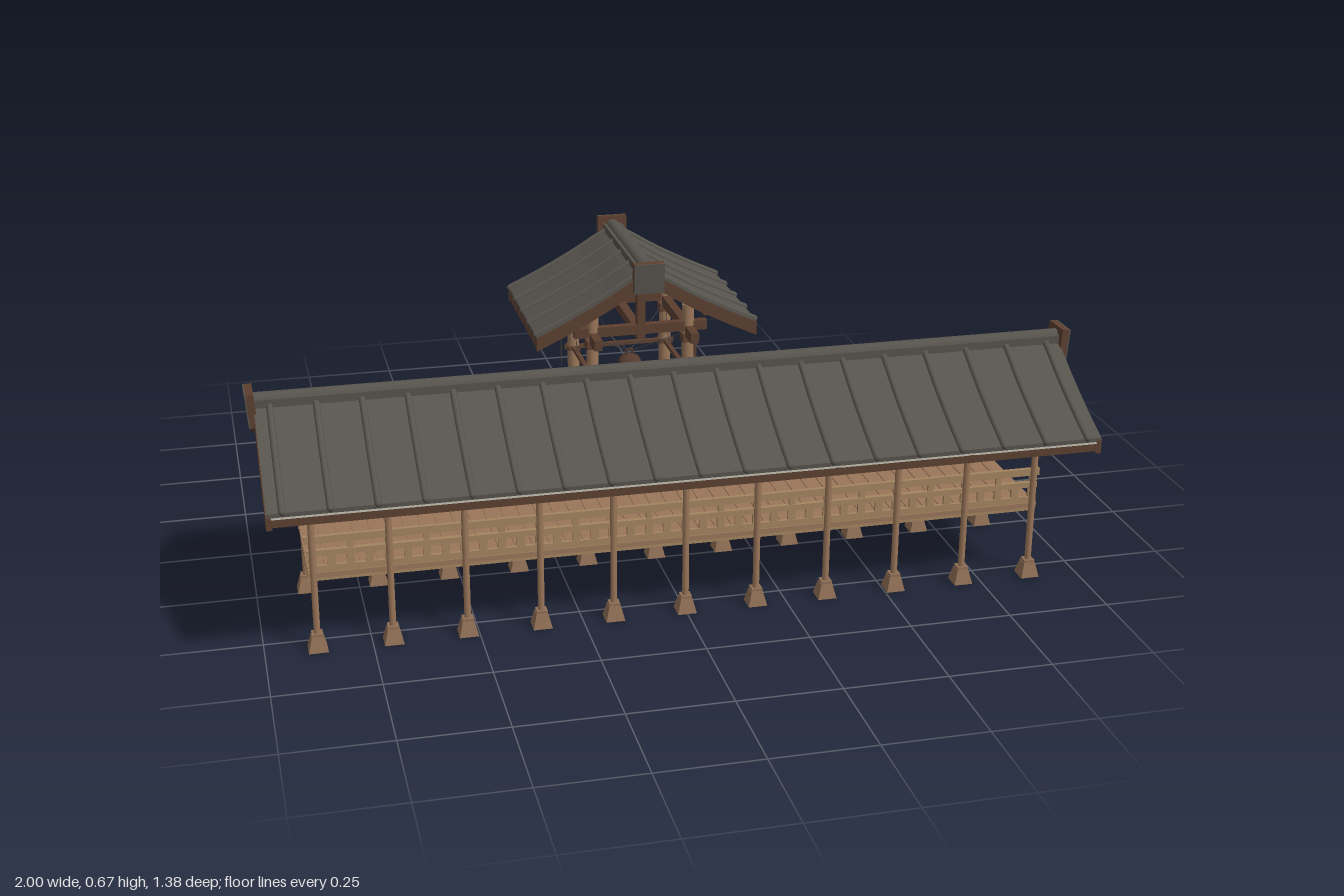
import * as THREE from 'three';

const mat = (name, color, side = THREE.FrontSide) => {
  const m = new THREE.MeshStandardMaterial({ color, side });
  m.name = name;
  return m;
};

export function createModel() {
  const tile = mat('roof tile', 0x57534d);
  const stone = mat('stone', 0x504d4a, THREE.DoubleSide);
  const wood = mat('light wood', 0x9a7659);
  const railWood = mat('railing wood', 0xa38560);
  const footing = mat('footing', 0x906f56);
  const dark = mat('dark wood', 0x5c3f30);
  const soffit = mat('soffit', 0xc4c2b2);
  const bronze = mat('bronze', 0x553a2d);
  const rope = mat('rope', 0x4a4640);

  const model = new THREE.Group();
  model.name = 'coveredWalkAndBellTower';

  const add = (parent, name, geo, material, x = 0, y = 0, z = 0) => {
    const m = new THREE.Mesh(geo, material);
    m.name = name;
    m.position.set(x, y, z);
    parent.add(m);
    return m;
  };
  const box = (parent, name, material, w, h, d, x, y, z) =>
    add(parent, name, new THREE.BoxGeometry(w, h, d), material, x, y, z);
  // Square tapered block with flat sides, standing on y
  const taper = (parent, name, material, top, bottom, h, x, y, z, open = false) => {
    const g = new THREE.CylinderGeometry(top * Math.SQRT1_2, bottom * Math.SQRT1_2, h, 4, 1, open)
      .rotateY(Math.PI / 4).toNonIndexed();
    g.computeVertexNormals();
    return add(parent, name, g, material, x, y + h / 2, z);
  };
  const rod = (parent, name, material, a, b, r) => {
    const va = new THREE.Vector3(...a), dir = new THREE.Vector3(...b).sub(va);
    const m = add(parent, name, new THREE.CylinderGeometry(r, r, dir.length(), 8), material);
    m.position.copy(va).addScaledVector(dir, 0.5);
    m.quaternion.setFromUnitVectors(new THREE.Vector3(0, 1, 0), dir.normalize());
  };

  // Curved gable section: distance from the ridge, height
  const section = [[0, 0.568], [0.04, 0.548], [0.1, 0.511], [0.15, 0.483], [0.22, 0.447], [0.295, 0.412]];
  // Strip of roof following the section, between two depths below its surface
  const roofLayer = (parent, name, material, t0, t1, width, x) => {
    const right = section.slice(1);
    const line = [...right.map(([d, y]) => [-d, y]).reverse(), section[0], ...right];
    const pts = [...line.map(([d, y]) => [d, y - t0]), ...line.map(([d, y]) => [d, y - t1]).reverse()];
    const shape = new THREE.Shape(pts.map(p => new THREE.Vector2(...p)));
    const g = new THREE.ExtrudeGeometry(shape, { depth: width, bevelEnabled: false });
    g.translate(0, 0, -width / 2).rotateY(Math.PI / 2);
    return add(parent, name, g, material, x);
  };
  // Round tile rib down one slope, with a rounded end at the eave
  const tileRib = (parent, x, side) => {
    const path = new THREE.CatmullRomCurve3(section.map(([d, y]) => new THREE.Vector3(0, y + 0.001, side * d)));
    add(parent, 'tileRib', new THREE.TubeGeometry(path, 10, 0.008, 10), tile, x);
    add(parent, 'ribEnd', new THREE.SphereGeometry(0.008, 10, 6), tile, x, 0.413, side * 0.294);
  };

  // Gabled roof with its ridge along local x
  const makeRoof = (name, length, ribs, pitch, rafters, lining) => {
    const r = new THREE.Group();
    r.name = name;
    const half = length / 2;
    roofLayer(r, 'roofTiles', tile, 0, 0.01, length, 0);
    roofLayer(r, 'roofLining', lining, 0.01, 0.015, length - 0.02, 0);
    for (let i = 0; i < rafters; i++)
      roofLayer(r, 'rafter', dark, 0.014, 0.034, 0.014, ((i + 1) / (rafters + 1) * 2 - 1) * half);
    for (const s of [-1, 1]) {
      for (let i = 0; i < ribs; i++) tileRib(r, (i - (ribs - 1) / 2) * pitch, s);
      roofLayer(r, 'bargeboard', dark, 0.004, 0.04, 0.014, s * (half - 0.005));
      box(r, 'eaveBoard', dark, length, 0.027, 0.012, 0, 0.3915, s * 0.288);
      box(r, 'purlin', dark, length - 0.02, 0.016, 0.016, 0, 0.441, s * 0.16);
      // Wooden ridge end block faced with a thin tile
      const end = new THREE.Group();
      end.name = 'ridgeEnd';
      end.position.set(s * (half + 0.006), 0.554, 0);
      end.rotation.z = -s * 0.08;
      box(end, 'ridgeEndBlock', dark, 0.018, 0.08, 0.08, 0, 0, 0);
      box(end, 'ridgeEndFace', tile, 0.003, 0.08, 0.08, s * 0.0105, 0, 0);
      r.add(end);
    }
    box(r, 'ridge', tile, length, 0.03, 0.05, 0, 0.56, 0);
    const top = new THREE.CylinderGeometry(0.019, 0.019, length, 12).rotateZ(Math.PI / 2);
    add(r, 'ridgeRoll', top, tile, 0, 0.567, 0);
    return r;
  };

  // ---- Covered walk ----
  const walk = new THREE.Group();
  walk.name = 'coveredWalk';
  walk.position.z = 0.39;
  model.add(walk);
  walk.add(makeRoof('walkRoof', 1.96, 19, 0.105, 5, soffit));
  box(walk, 'floor', wood, 1.78, 0.012, 0.31, 0, 0.186, 0);
  for (let i = 0; i < 44; i++)
    box(walk, 'floorPlank', wood, 0.036, 0.003, 0.3, -0.871 + i * 0.0405, 0.193, 0);
  for (let i = 0; i < 11; i++) {
    const x = (i - 5) * 0.1755;
    box(walk, 'joist', dark, 0.014, 0.004, 0.3, x, 0.179, 0);
    for (const s of [-1, 1]) {
      const z = s * 0.158;
      taper(walk, 'postFooting', footing, 0.028, 0.046, 0.036, x, 0, z);
      box(walk, 'postShoe', footing, 0.026, 0.008, 0.026, x, 0.039, z);
      add(walk, 'post', new THREE.CylinderGeometry(0.008, 0.008, 0.4, 10), wood, x, 0.24, z);
    }
  }
  // Railings on both long sides
  for (const s of [-1, 1]) {
    const z = s * 0.147;
    box(walk, 'railBoard', railWood, 1.78, 0.037, 0.008, 0, 0.189, z);
    box(walk, 'midRail', railWood, 1.78, 0.014, 0.012, 0, 0.24, z);
    box(walk, 'topRail', railWood, 1.79, 0.018, 0.01, 0, 0.273, z);
    for (let i = 0; i < 41; i++) {
      const x = (i - 20) * 0.0439;
      box(walk, 'baluster', railWood, 0.018, 0.04, 0.007, x, 0.222, z);
      if (i % 2 === 0) box(walk, 'upperBaluster', railWood, 0.014, 0.028, 0.007, x, 0.258, z);
    }
  }

  // ---- Bell tower ----
  const tower = new THREE.Group();
  tower.name = 'bellTower';
  tower.position.set(0.06, 0, -0.315);
  model.add(tower);

  // Hollow battered base and its floor
  taper(tower, 'stoneBase', stone, 0.385, 0.44, 0.106, 0, 0, 0, true);
  box(tower, 'baseRim', stone, 0.405, 0.012, 0.405, 0, 0.111, 0);
  box(tower, 'baseFloor', wood, 0.39, 0.005, 0.39, 0, 0.118, 0);
  box(tower, 'baseCeiling', wood, 0.37, 0.004, 0.37, 0, 0.103, 0);
  box(tower, 'rimInlay', wood, 0.004, 0.013, 0.036, 0.202, 0.112, 0.027);
  for (let i = 0; i < 5; i++)
    box(tower, 'step', stone, 0.13, 0.02 * (5 - i), 0.032, 0, 0.01 * (5 - i), -0.225 - i * 0.032);
  box(tower, 'stepBack', stone, 0.13, 0.1, 0.02, 0, 0.05, -0.2);

  const P = 0.13;
  for (const sx of [-1, 1]) for (const sz of [-1, 1]) {
    const x = sx * P, z = sz * P;
    add(tower, 'towerFooting', new THREE.CylinderGeometry(0.019, 0.021, 0.012, 16), footing, x, 0.126, z);
    add(tower, 'towerPost', new THREE.CylinderGeometry(0.016, 0.017, 0.39, 16), wood, x, 0.325, z);
    box(tower, 'bracket', dark, 0.036, 0.022, 0.036, x, 0.429, z);
    rod(tower, 'bellRope', rope, [0, 0.352, 0], [x * 0.9, 0.435, z * 0.9], 0.001);
    rod(tower, 'braceRope', rope, [x, 0.435, z * 0.9], [x, 0.333, z * 0.6], 0.001);
    for (const y of [0.195, 0.33]) box(tower, 'jointBlock', dark, 0.036, 0.012, 0.036, x, y, z);
  }
  // Dark board on the upper part of one post
  box(tower, 'postBoard', dark, 0.006, 0.13, 0.032, P + 0.017, 0.37, P);
  // Tie beams on all four sides
  for (const s of [-1, 1]) {
    for (const y of [0.195, 0.33]) {
      box(tower, 'tieBeam', dark, 0.31, 0.01, 0.012, 0, y, s * P);
      box(tower, 'tieBeam', dark, 0.012, 0.01, 0.31, s * P, y, 0);
    }
    box(tower, 'wallPlate', dark, 0.022, 0.028, 0.415, s * P, 0.449, 0);
    box(tower, 'crossBeam', dark, 0.36, 0.026, 0.022, 0, 0.462, s * P);
    box(tower, 'kingPost', dark, 0.022, 0.1, 0.022, 0, 0.525, s * P);
  }
  box(tower, 'bellBeam', dark, 0.024, 0.024, 0.28, 0, 0.447, 0);

  const towerRoof = makeRoof('towerRoof', 0.43, 5, 0.1, 7, dark);
  towerRoof.rotation.y = Math.PI / 2;
  towerRoof.position.y = 0.078;
  tower.add(towerRoof);

  // Bell
  const bellProfile = [[0, 0.25], [0.031, 0.25], [0.032, 0.24], [0.0355, 0.24], [0.0355, 0.256],
    [0.035, 0.3], [0.033, 0.322], [0.025, 0.336], [0.012, 0.343], [0, 0.344]];
  add(tower, 'bell', new THREE.LatheGeometry(bellProfile.map(p => new THREE.Vector2(...p)), 24), bronze);
  add(tower, 'bellLoop', new THREE.TorusGeometry(0.009, 0.003, 8, 16), bronze, 0, 0.35, 0);

  // Hanging striker log
  rod(tower, 'striker', wood, [-0.22, 0.288, 0], [-0.06, 0.288, 0], 0.005);
  for (const x of [-0.19, -0.1])
    rod(tower, 'strikerRope', rope, [x, 0.288, 0], [x, x < -0.15 ? 0.49 : 0.52, 0], 0.001);

  return model;
}
